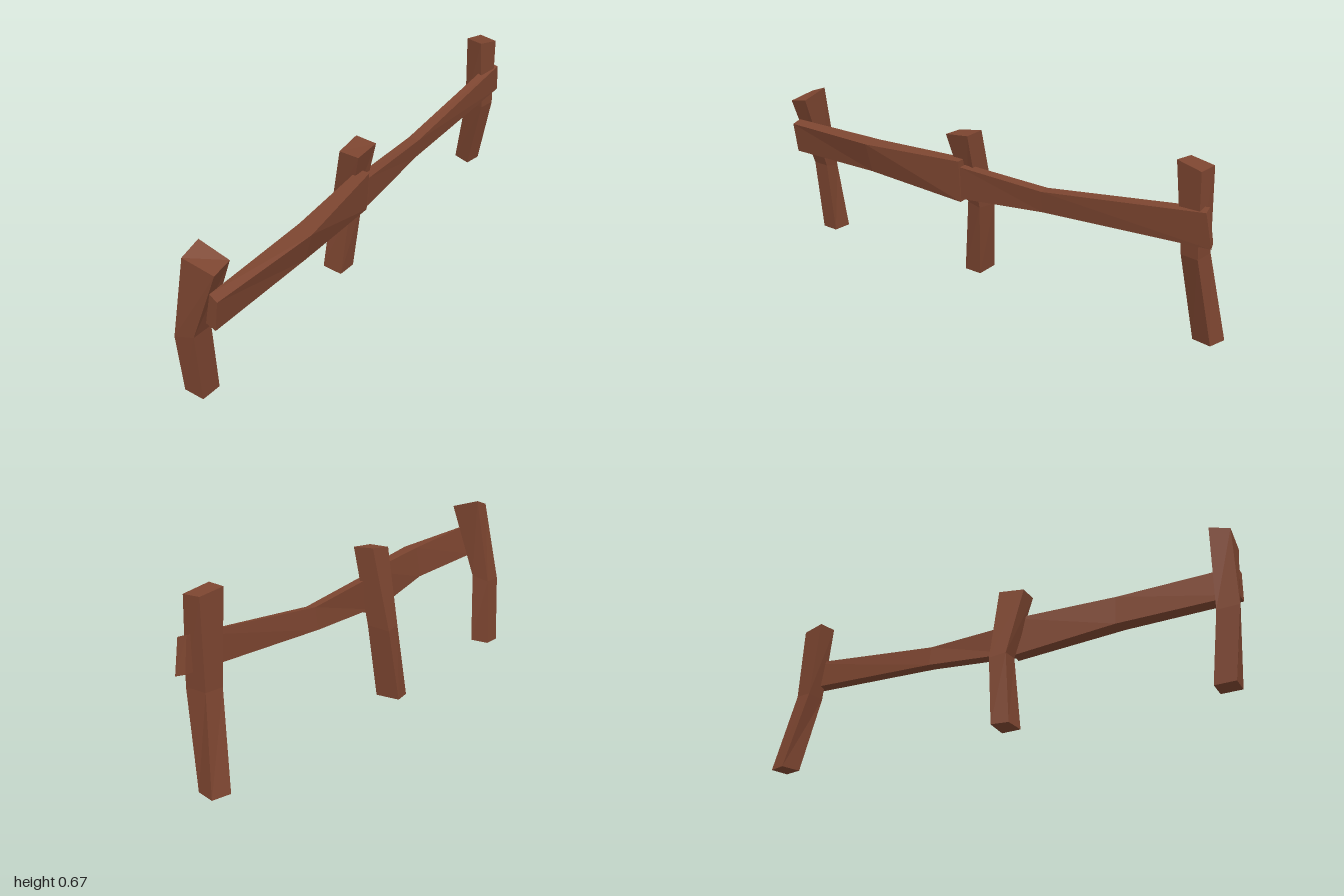
import * as THREE from 'three';

const wood = new THREE.MeshStandardMaterial({ color: 0x7c4530 });
wood.name = 'brownWood';

// Solid beam through four-cornered sections, each wound
// counter-clockwise as seen from the last section.
function beam(name, rings) {
  const pos = [];
  const quad = (a, b, c, d) => pos.push(...a, ...b, ...c, ...a, ...c, ...d);
  for (let i = 0; i < rings.length - 1; i++) {
    for (let j = 0; j < 4; j++) {
      const k = (j + 1) % 4;
      quad(rings[i][j], rings[i][k], rings[i + 1][k], rings[i + 1][j]);
    }
  }
  const [a, b, c, d] = rings[0];
  quad(d, c, b, a);
  quad(...rings[rings.length - 1]);
  const geo = new THREE.BufferGeometry();
  geo.setAttribute('position', new THREE.Float32BufferAttribute(pos, 3));
  geo.computeVertexNormals();
  const mesh = new THREE.Mesh(geo, wood);
  mesh.name = name;
  return mesh;
}

export function createModel() {
  const group = new THREE.Group();
  group.name = 'woodenFence';

  // Posts: base, bend and top sections (front-left, front-right, back-right, back-left)
  group.add(beam('frontPost', [
    [[-0.115, 0, 0.965], [-0.03, 0, 0.965], [-0.025, 0, 0.885], [-0.11, 0, 0.885]],
    [[-0.09, 0.29, 1.0], [-0.015, 0.31, 0.985], [-0.01, 0.31, 0.905], [-0.085, 0.29, 0.915]],
    [[-0.023, 0.64, 0.985], [0.105, 0.62, 0.98], [0.1, 0.63, 0.9], [-0.022, 0.665, 0.905]],
  ]));
  group.add(beam('middlePost', [
    [[-0.125, 0, 0.125], [-0.035, 0, 0.13], [-0.03, 0, 0.05], [-0.133, 0, 0.055]],
    [[-0.095, 0.3, 0.1], [-0.01, 0.31, 0.095], [0, 0.3, 0.03], [-0.1, 0.29, 0.03]],
    [[-0.02, 0.6, 0.145], [0.065, 0.6, 0.145], [0.07, 0.61, 0.035], [-0.02, 0.615, 0.035]],
  ]));
  group.add(beam('backPost', [
    [[-0.105, 0, -0.93], [-0.025, 0, -0.905], [-0.01, 0, -0.98], [-0.085, 0, -1.0]],
    [[-0.04, 0.34, -0.875], [0.045, 0.34, -0.87], [0.06, 0.34, -0.94], [-0.03, 0.34, -0.945]],
    [[-0.035, 0.67, -0.845], [0.04, 0.67, -0.83], [0.06, 0.65, -0.93], [-0.02, 0.655, -0.94]],
  ]));

  // Rails: back to front sections (bottom-left, bottom-right, top-right, top-left)
  group.add(beam('frontRail', [
    [[0.01, 0.335, 0.08], [0.058, 0.33, 0.08], [0.07, 0.5, 0.08], [0.025, 0.505, 0.08]],
    [[0.04, 0.39, 0.5], [0.095, 0.383, 0.52], [0.13, 0.507, 0.52], [0.06, 0.515, 0.5]],
    [[0.04, 0.395, 0.975], [0.085, 0.388, 0.98], [0.105, 0.515, 0.98], [0.07, 0.53, 0.975]],
  ]));
  group.add(beam('backRail', [
    [[0.025, 0.4, -0.975], [0.06, 0.39, -0.985], [0.065, 0.515, -0.96], [0.03, 0.525, -0.955]],
    [[0, 0.37, -0.3], [0.045, 0.367, -0.3], [0.055, 0.45, -0.3], [0.013, 0.455, -0.3]],
    [[0.02, 0.35, 0.075], [0.06, 0.345, 0.075], [0.067, 0.477, 0.075], [0.025, 0.48, 0.075]],
  ]));
  return group;
}
